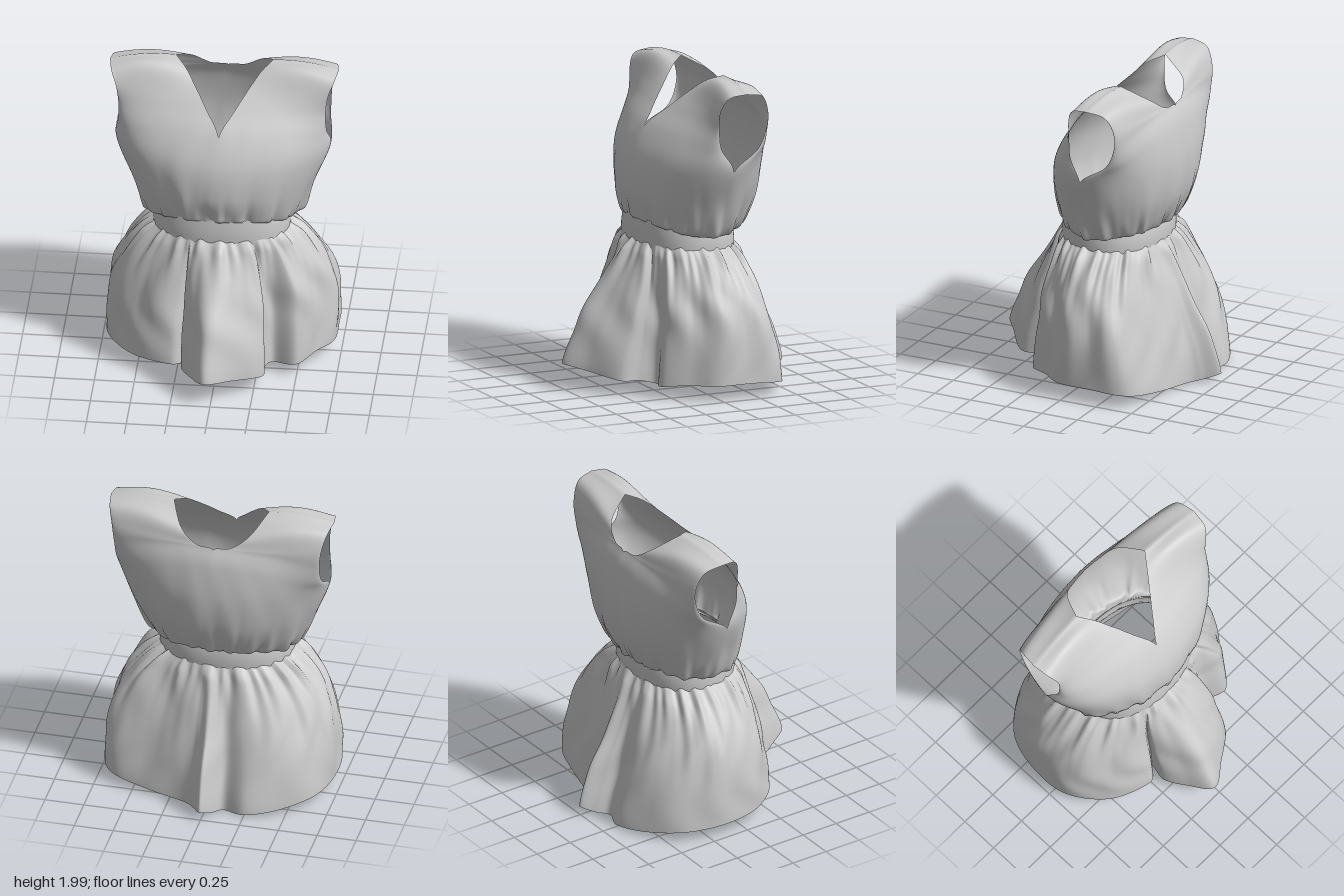
import * as THREE from 'three';
import { mergeGeometries, mergeVertices } from 'three/addons/utils/BufferGeometryUtils.js';

const { lerp, smoothstep } = THREE.MathUtils;
const material = new THREE.MeshStandardMaterial({ color: 0xcccccc, side: THREE.DoubleSide });

// Surface sampled on a grid; fn(u, v) returns [x, y, z]
function sheet(cols, rows, fn, flip) {
  const pos = [], index = [];
  for (let i = 0; i <= rows; i++)
    for (let j = 0; j <= cols; j++) pos.push(...fn(j / cols, i / rows));
  for (let i = 0; i < rows; i++)
    for (let j = 0; j < cols; j++) {
      const a = i * (cols + 1) + j, b = a + 1, c = b + cols + 1, d = c - 1;
      if (flip) index.push(a, c, b, a, d, c);
      else index.push(a, b, c, a, c, d);
    }
  const geo = new THREE.BufferGeometry();
  geo.setAttribute('position', new THREE.Float32BufferAttribute(pos, 3));
  geo.setIndex(index);
  return geo;
}

// Weld the sheets and smooth them
function clothMesh(name, sheets) {
  const geo = mergeVertices(mergeGeometries(sheets), 1e-4);
  geo.computeVertexNormals();
  const mesh = new THREE.Mesh(geo, material);
  mesh.name = name;
  return mesh;
}

const curve = (pts, closed = false) =>
  new THREE.CatmullRomCurve3(pts.map(p => new THREE.Vector3(...p)), closed, 'catmullrom', 0.5);

// Irregular gathers and broader folds around the body, roughly -1..1; h makes them wander
const gathers = (a, h) =>
  0.45 * Math.sin(19 * a + 1.4 * Math.sin(3 * a + 6 * h)) + 0.35 * Math.sin(31 * a + 2 * Math.sin(2 * a + 1 - 5 * h)) + 0.2 * Math.sin(47 * a);
const folds = (a, h) => 0.6 * Math.sin(9 * a + Math.sin(2 * a + 4 * h)) + 0.4 * Math.sin(14 * a + 1 + 3 * Math.sin(a + 5 * h));

// Waist outline at angle a (0 = front, toward +x)
const waist = (a, grow) => {
  const s = Math.sin(a), c = Math.cos(a);
  return [(0.42 + grow) * Math.sign(s) * Math.abs(s) ** 0.9, -0.03 + (0.31 + grow) * Math.sign(c) * Math.abs(c) ** 0.9];
};

// Bodice: edges run from waist to shoulder, through underarm and armhole
const sideSeam = [[0.415, 1.03, -0.04], [0.49, 1.01, -0.05], [0.58, 1.22, -0.08], [0.672, 1.455, -0.1]];
const frontInner = curve([[0, 1.06, 0.275], [0, 1.1, 0.29], [0, 1.25, 0.32], [0, 1.45, 0.295],
  [0, 1.64, 0.2], [0.085, 1.765, 0.085], [0.165, 1.87, -0.02], [0.235, 1.95, -0.11], [0.305, 1.99, -0.2]]);
const frontOuter = curve([...sideSeam,
  [0.655, 1.6, -0.025], [0.65, 1.73, -0.012], [0.665, 1.85, -0.015], [0.7, 1.935, -0.06], [0.718, 1.955, -0.17]]);
const backInner = curve([[0, 1.03, -0.34], [0, 1.04, -0.395], [0, 1.22, -0.475], [0, 1.45, -0.5],
  [0, 1.69, -0.47], [0, 1.8, -0.425], [0.11, 1.818, -0.41], [0.22, 1.895, -0.36], [0.305, 1.99, -0.2]]);
const backOuter = curve([...sideSeam,
  [0.66, 1.58, -0.27], [0.66, 1.72, -0.332], [0.675, 1.84, -0.33], [0.7, 1.93, -0.28], [0.718, 1.955, -0.17]]);

function bodicePanel(inner, outer, side, flip) {
  return sheet(44, 64, (u, v) => {
    const p = inner.getPoint(v), q = outer.getPoint(v);
    const s = Math.sin(u * Math.PI / 2), c = Math.cos(u * Math.PI / 2);
    // round below the arm, flatter toward the shoulder
    const flat = smoothstep(v, 0.4, 0.9);
    const k = lerp(c, (1 - s) * 0.7 + c * 0.3, flat);
    // soft roll either side of the shoulder line
    const roll = Math.sin(Math.PI * s) * smoothstep(v, 0.7, 0.88) * (1 - 0.7 * smoothstep(v, 0.88, 1));
    let x = side * lerp(Math.max(0, p.x), q.x, s);
    let y = lerp(p.y, q.y, s * s) + 0.035 * roll;
    let z = q.z + (p.z - q.z) * k;
    // gathers fade upward from the waist
    const a = Math.atan2(x, z + 0.08);
    const h = Math.max(0, y - 1.02), start = Math.min(1, v * 9);
    const d = start * (0.022 * Math.exp(-h / 0.11) * gathers(a, h) + 0.014 * Math.exp(-h / 0.3) * folds(a, h));
    if (Math.abs(x) > 1e-6) x += d * Math.sin(a);
    z += d * Math.cos(a);
    return [x, y, z];
  }, flip);
}

// Hem outline, counted from the front toward +x
const hem = curve([[-0.04, 0.165, 0.75], [0.12, 0.14, 0.65], [0.3, 0.1, 0.51], [0.305, 0.09, 0.38], [0.35, 0.07, 0.28],
  [0.5, 0.085, 0.32], [0.61, 0.1, 0.17], [0.71, 0.1, 0.03], [0.72, 0.1, -0.2], [0.71, 0.09, -0.36],
  [0.62, 0.07, -0.46], [0.4, 0.035, -0.52], [0.15, 0.015, -0.58], [0.07, 0.025, -0.65], [0.01, 0.06, -0.75],
  [-0.05, 0.02, -0.67], [-0.11, 0.005, -0.6], [-0.26, 0.02, -0.65], [-0.46, 0.04, -0.57], [-0.65, 0.07, -0.4],
  [-0.72, 0.08, -0.15], [-0.7, 0.1, 0.1], [-0.53, 0.1, 0.32], [-0.28, 0.1, 0.42],
  [-0.19, 0.085, 0.35], [-0.21, 0.11, 0.47], [-0.14, 0.13, 0.61]], true);

function skirtPoint(u, v) {
  const h = hem.getPoint(u);
  const a = Math.atan2(h.x / 0.42, (h.z + 0.03) / 0.33);
  const [wx, wz] = waist(a, 0.006);
  // sides puff out quickly, front and back fall as a cone
  const fx = 1 - (1 - v) ** 3.3, fz = 1 - (1 - v) ** 1.35;
  const top = 0.915 + 0.02 * Math.cos(a) + 0.015 * gathers(a, 0);
  const start = Math.min(1, v * 14);
  const d = start * (0.03 * Math.exp(-v / 0.16) * (gathers(a, v) + 0.5) + 0.02 * Math.sin(Math.PI * v) * folds(a, v));
  return [
    lerp(wx, h.x, fx) + d * Math.sin(a),
    lerp(top, h.y, v),
    lerp(wz, h.z, fz) + d * Math.cos(a),
  ];
}

function bandPoint(u, v) {
  const a = u * Math.PI * 2;
  const [x, z] = waist(a, 0.012 * (1 - v) - 0.004 + 0.006 * Math.sin(Math.PI * v));
  return [x, lerp(0.885, 1.055 + 0.025 * Math.cos(a), v), z];
}

export function createModel() {
  const dress = new THREE.Group();
  dress.name = 'dress';
  dress.add(
    clothMesh('bodice', [
      bodicePanel(frontInner, frontOuter, 1, false),
      bodicePanel(frontInner, frontOuter, -1, true),
      bodicePanel(backInner, backOuter, 1, true),
      bodicePanel(backInner, backOuter, -1, false),
    ]),
    clothMesh('waistband', [sheet(96, 8, bandPoint, false)]),
    clothMesh('skirt', [sheet(324, 48, skirtPoint, true)]),
  );
  return dress;
}
